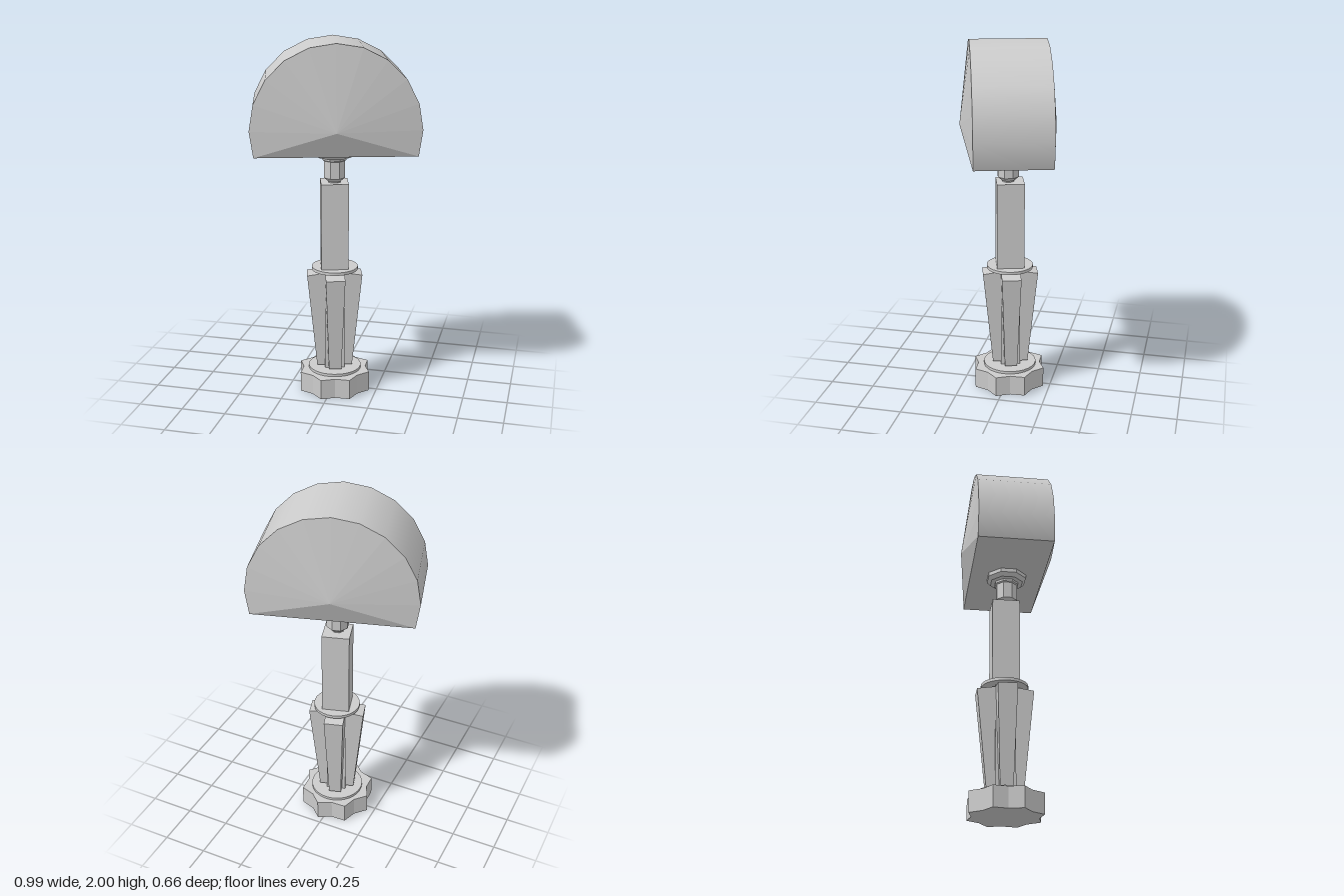
import * as THREE from 'three';

const TURN = THREE.MathUtils.degToRad(16.4);
const deg = THREE.MathUtils.degToRad;

export function createModel() {
  const model = new THREE.Group();
  model.name = 'tableLamp';
  const smooth = new THREE.MeshStandardMaterial({ color: 0xcccccc });
  const flat = new THREE.MeshStandardMaterial({ color: 0xcccccc, flatShading: true });

  const add = (parent, name, geometry, material, x = 0, y = 0, z = 0) => {
    const mesh = new THREE.Mesh(geometry, material);
    mesh.name = name;
    mesh.position.set(x, y, z);
    parent.add(mesh);
    return mesh;
  };
  const disc = (name, r, y0, y1) =>
    add(model, name, new THREE.CylinderGeometry(r, r, y1 - y0, 32), smooth, 0, (y0 + y1) / 2, -0.01);

  // Eight-pointed star base
  const star = new THREE.Shape(Array.from({ length: 16 }, (_, i) => {
    const r = i % 2 ? 0.178 : 0.212;
    const a = deg(-8) + (i * Math.PI) / 8;
    return new THREE.Vector2(r * Math.cos(a), r * Math.sin(a));
  }));
  const base = new THREE.ExtrudeGeometry(star, { depth: 0.115, bevelEnabled: false });
  base.rotateX(-Math.PI / 2);
  add(model, 'starBase', base, flat, 0, 0, -0.005);
  disc('baseDisc', 0.15, 0.115, 0.13);
  disc('columnDisc', 0.13, 0.715, 0.732);

  // Everything above the base shares one turn about the vertical axis
  const body = new THREE.Group();
  body.name = 'body';
  body.rotation.y = TURN;
  model.add(body);

  // Square column and the narrower core behind the staves
  add(body, 'column', new THREE.BoxGeometry(0.152, 0.49, 0.152), flat, 0, 0.977, -0.01);
  add(body, 'core', new THREE.BoxGeometry(0.11, 0.59, 0.11), flat, 0, 0.425, -0.01);

  // Four tapering staves that lean outward
  for (let i = 0; i < 4; i++) {
    const geometry = new THREE.BoxGeometry(1, 1, 1);
    const p = geometry.attributes.position;
    for (let j = 0; j < p.count; j++) {
      const top = p.getY(j) > 0;
      const outer = p.getZ(j) > 0;
      p.setXYZ(j,
        p.getX(j) * (top ? 0.108 : 0.07),
        top ? (outer ? 0.69 : 0.705) : 0.14,
        outer ? (top ? 0.155 : 0.1) : (top ? 0.055 : 0.03));
    }
    geometry.computeVertexNormals();
    const stave = add(body, 'stave', geometry, flat, 0, 0, -0.01);
    stave.rotation.y = (i * Math.PI) / 2;
  }

  // Octagonal neck and socket flange
  const profile = [
    [0, 1.215], [0.035, 1.215], [0.035, 1.228], [0.062, 1.25], [0.062, 1.345],
    [0.07, 1.35], [0.07, 1.362], [0.095, 1.365], [0.115, 1.385], [0.115, 1.412], [0, 1.412],
  ].map(([x, y]) => new THREE.Vector2(x, y));
  const neck = add(body, 'neck', new THREE.LatheGeometry(profile, 8), flat);
  neck.rotation.y = Math.PI / 8;

  // Half-drum shade: curved shell, shallow pointed ends, flat underside
  const R = 0.457, half = 0.207, bulge = 0.056, n = 12;
  const start = deg(-17.5), sweep = Math.PI - 2 * start;
  const shade = new THREE.Group();
  shade.name = 'shade';
  shade.position.y = 1.544;
  body.add(shade);

  const shell = new THREE.CylinderGeometry(R, R, half * 2, n, 1, true, start + Math.PI / 2, sweep);
  shell.rotateX(Math.PI / 2);
  const shellMaterial = smooth.clone();
  shellMaterial.side = THREE.DoubleSide;
  add(shade, 'shadeShell', shell, shellMaterial);

  const rim = Array.from({ length: n + 1 }, (_, i) => {
    const a = start + (sweep * i) / n;
    return [R * Math.cos(a), R * Math.sin(a), half];
  });
  const fan = [];
  rim.forEach((point, i) => fan.push(0, 0, half + bulge, ...point, ...rim[(i + 1) % rim.length]));
  const cap = new THREE.BufferGeometry();
  cap.setAttribute('position', new THREE.Float32BufferAttribute(fan, 3));
  cap.computeVertexNormals();
  for (const [name, angle] of [['shadeFront', 0], ['shadeBack', Math.PI]]) {
    add(shade, name, cap, flat).rotation.y = angle;
  }

  const under = new THREE.PlaneGeometry(2 * R * Math.cos(start), half * 2);
  under.rotateX(Math.PI / 2);
  add(shade, 'shadeUnderside', under, shellMaterial, 0, R * Math.sin(start), 0);

  return model;
}
